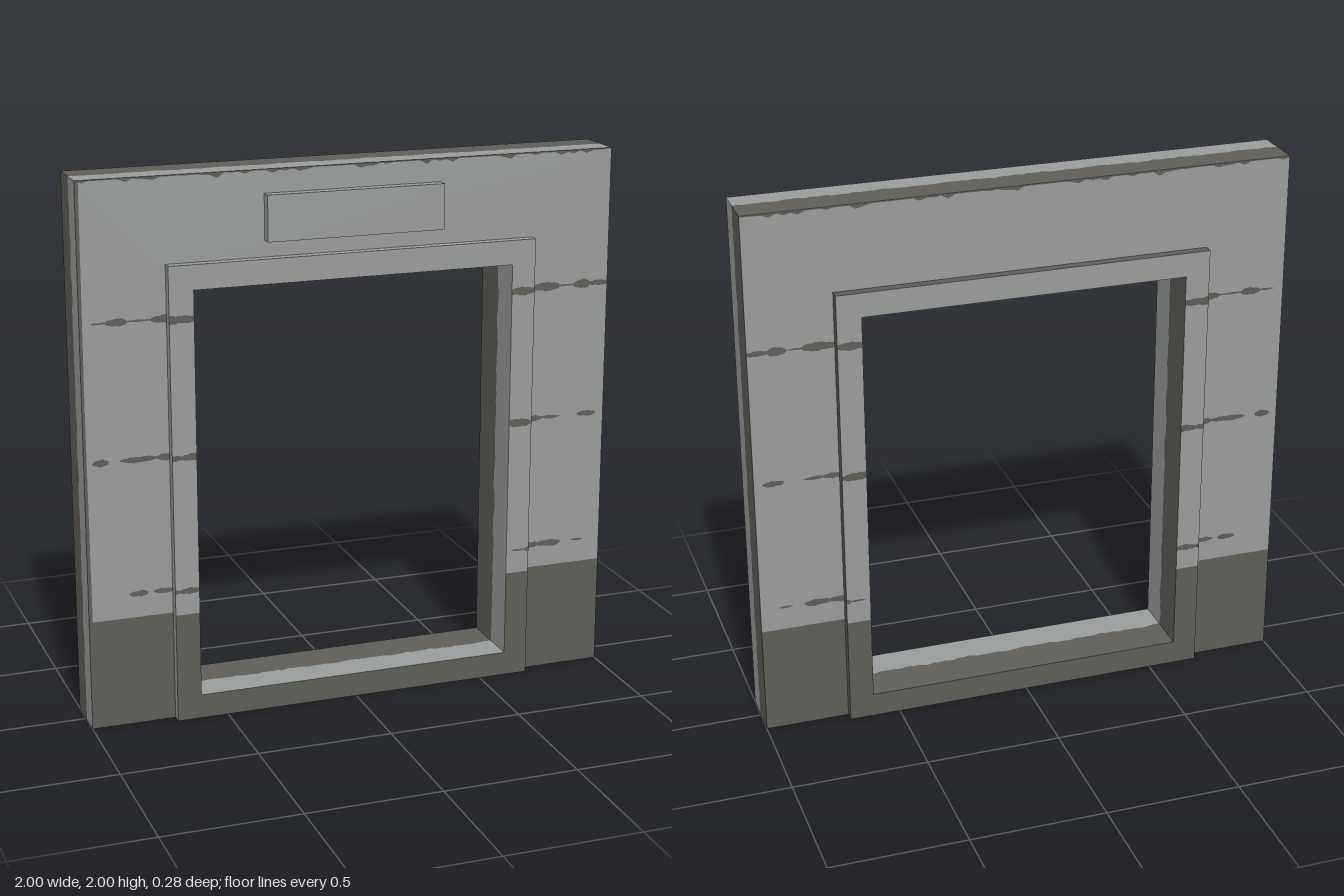
import * as THREE from 'three';

const light = new THREE.MeshStandardMaterial({ color: 0x989c9a });
light.name = 'pale concrete';
const dark = new THREE.MeshStandardMaterial({ color: 0x5e5d57 });
dark.name = 'weathered concrete';

const WALL_Z = 0.1, TRIM_Z = 0.136, TRIM_X = 0.69, TRIM_TOP = 1.69;
const HOLE_X = 0.6, HOLE_TOP = 1.6, SILL = 0.09, BASE = 0.41;

// Smooth repeatable wobble in the range -1..1
const wobble = (t) => (Math.sin(t * 23) + Math.sin(t * 57 + 1) + Math.sin(t * 131 + 2)) / 3;

// Flat polygon in the xy plane at depth z, facing away from z = 0
function face(group, name, points, z, material) {
  const shape = new THREE.Shape(points.map(([x, y]) => new THREE.Vector2(x, y)));
  const geo = new THREE.ShapeGeometry(shape);
  if (z < 0) {
    geo.setIndex(Array.from(geo.index.array).reverse());
    geo.computeVertexNormals();
  }
  geo.translate(0, 0, z);
  const mesh = new THREE.Mesh(geo, material);
  mesh.name = name;
  group.add(mesh);
}

// Edge band along a path: pale towards the front, weathered towards the back
function edgeBand(group, name, path, depth) {
  const pale = [], worn = [];
  const quad = (out, a, b, a0, b0, a1, b1) => out.push(
    ...a, a0, ...b, b0, ...b, b1, ...a, a0, ...b, b1, ...a, a1);
  const split = ([x, y]) => 0.011 + 0.009 * wobble(x + 1.7 * y);
  for (let i = 0; i + 1 < path.length; i++) {
    const p = path[i], q = path[i + 1];
    const n = Math.ceil(Math.hypot(q[0] - p[0], q[1] - p[1]) / 0.025);
    const at = (k) => [0, 1].map((c) => p[c] + (q[c] - p[c]) * k / n);
    for (let k = 0; k < n; k++) {
      const a = at(k), b = at(k + 1);
      quad(pale, a, b, split(a), split(b), depth, depth);
      quad(worn, a, b, -depth, -depth, split(a), split(b));
    }
  }
  for (const [part, data, material] of [['Front', pale, light], ['Back', worn, dark]]) {
    const geo = new THREE.BufferGeometry();
    geo.setAttribute('position', new THREE.Float32BufferAttribute(data, 3));
    geo.computeVertexNormals();
    const mesh = new THREE.Mesh(geo, material);
    mesh.name = name + part;
    group.add(mesh);
  }
}

// Ragged lens-shaped crack from x0 to x1, drawn only between lo and hi
function crack(group, y, x0, x1, thick, lo, hi, z) {
  const a = Math.max(x0, lo), b = Math.min(x1, hi);
  if (b - a < 0.005) return;
  const top = [], bottom = [], n = 12;
  for (let i = 0; i <= n; i++) {
    const x = a + (b - a) * i / n;
    const s = Math.sin(Math.PI * (x - x0) / (x1 - x0));
    const h = 0.001 + thick / 2 * Math.sqrt(Math.max(0, s));
    top.push([x, y + h * (1 + 0.3 * wobble(x * 2 + y))]);
    bottom.push([x, y - h * (1 + 0.3 * wobble(x * 2 - y))]);
  }
  face(group, 'crack', [...bottom, ...top.reverse()], z, dark);
}

// Each row: height, then [start, end, thickness] runs
const CRACKS = [
  [1.5, [[-0.96, -0.9, 0.006], [-0.91, -0.83, 0.024], [-0.84, -0.74, 0.006], [-0.75, -0.58, 0.028],
    [0.58, 0.7, 0.026], [0.68, 0.81, 0.03], [0.8, 0.86, 0.006], [0.86, 0.93, 0.03], [0.92, 1.02, 0.018]]],
  [1.0, [[-0.97, -0.91, 0.024], [-0.87, -0.73, 0.019], [-0.74, -0.65, 0.022], [-0.66, -0.58, 0.025],
    [0.58, 0.69, 0.028], [0.67, 0.75, 0.02], [0.74, 0.82, 0.01], [0.89, 0.97, 0.018]]],
  [0.5, [[-0.85, -0.78, 0.02], [-0.76, -0.67, 0.018], [-0.68, -0.59, 0.02],
    [0.62, 0.68, 0.006], [0.67, 0.75, 0.02], [0.74, 0.84, 0.024], [0.88, 0.93, 0.006]]],
];

export function createModel() {
  const model = new THREE.Group();
  model.name = 'doorway';
  const wall = new THREE.Group(), trim = new THREE.Group(), cracks = new THREE.Group();
  wall.name = 'wall';
  trim.name = 'doorTrim';
  cracks.name = 'cracks';
  model.add(wall, trim, cracks);

  for (const side of [1, -1]) {
    // Wall faces around the trim, with darker plinths
    const wz = side * WALL_Z, tz = side * TRIM_Z;
    face(wall, 'wallFace', [[-1, BASE], [-TRIM_X, BASE], [-TRIM_X, TRIM_TOP], [TRIM_X, TRIM_TOP],
      [TRIM_X, BASE], [1, BASE], [1, 2], [-1, 2]], wz, light);
    for (const [a, b] of [[-1, -TRIM_X], [TRIM_X, 1]])
      face(wall, 'plinth', [[a, 0], [b, 0], [b, BASE], [a, BASE]], wz, dark);

    // Trim faces
    face(trim, 'trimFace', [[-TRIM_X, BASE], [-HOLE_X, BASE], [-HOLE_X, HOLE_TOP], [HOLE_X, HOLE_TOP],
      [HOLE_X, BASE], [TRIM_X, BASE], [TRIM_X, TRIM_TOP], [-TRIM_X, TRIM_TOP]], tz, light);
    face(trim, 'trimBase', [[-TRIM_X, 0], [TRIM_X, 0], [TRIM_X, BASE], [HOLE_X, BASE], [HOLE_X, SILL],
      [-HOLE_X, SILL], [-HOLE_X, BASE], [-TRIM_X, BASE]], tz, dark);

    // Horizontal cracks, stepped from the wall onto the trim
    for (const [y, runs] of CRACKS)
      for (const [x0, x1, t] of runs) {
        crack(cracks, y, x0, x1, t, -1, -TRIM_X, wz + side * 0.002);
        crack(cracks, y, x0, x1, t, TRIM_X, 1, wz + side * 0.002);
        crack(cracks, y, x0, x1, t, -TRIM_X, -HOLE_X, tz + side * 0.002);
        crack(cracks, y, x0, x1, t, HOLE_X, TRIM_X, tz + side * 0.002);
      }

    // Ragged stain below the top edge
    const drip = [[1, 2], [-1, 2]];
    for (let i = 0; i <= 80; i++) {
      const x = -1 + i / 40;
      drip.push([x, 1.996 - 0.018 * Math.max(0, wobble(x + 0.3))]);
    }
    face(wall, 'topStain', drip, wz + side * 0.002, dark);
  }

  // Stain down one front corner
  face(wall, 'cornerStain', [[-1, BASE], [-0.987, BASE], [-0.99, 1.2], [-0.987, 2], [-1, 2]], WALL_Z + 0.002, dark);

  // Outer edges of the wall and trim, and the lining of the opening
  edgeBand(wall, 'wallEdge', [[TRIM_X, 0], [1, 0], [1, 2], [-1, 2], [-1, 0], [-TRIM_X, 0]], WALL_Z);
  edgeBand(trim, 'trimEdge', [[-TRIM_X, 0], [TRIM_X, 0], [TRIM_X, TRIM_TOP], [-TRIM_X, TRIM_TOP], [-TRIM_X, 0]], TRIM_Z);
  edgeBand(trim, 'openingLining', [[-HOLE_X, SILL], [-HOLE_X, HOLE_TOP], [HOLE_X, HOLE_TOP], [HOLE_X, SILL], [-HOLE_X, SILL]], TRIM_Z);

  // Blank plaque over the doorway
  const plaque = new THREE.Mesh(new THREE.BoxGeometry(0.66, 0.166, 0.05), light);
  plaque.name = 'plaque';
  plaque.position.set(0, 1.832, 0.114);
  model.add(plaque);

  return model;
}
